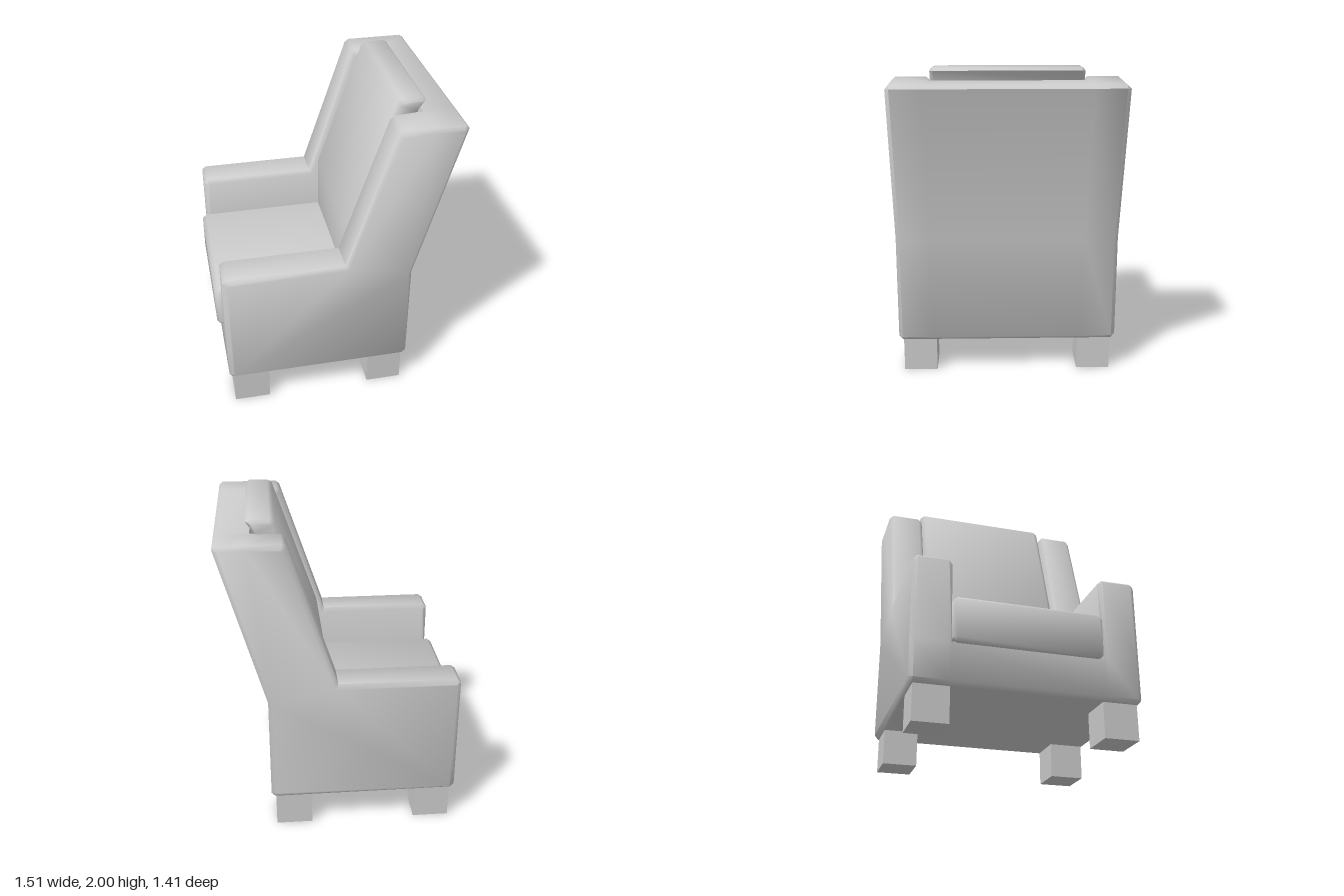
import * as THREE from 'three';
import { toCreasedNormals } from 'three/addons/utils/BufferGeometryUtils.js';

const material = new THREE.MeshStandardMaterial({ color: 0xcccccc });
const BEVEL = 0.025;

// Move every edge of a counter-clockwise outline inward by d.
function inset(pts, d) {
  return pts.map((p, i) => {
    const a = pts[(i + pts.length - 1) % pts.length], b = pts[(i + 1) % pts.length];
    const n = [[a, p], [p, b]].map(([s, e]) => {
      const l = Math.hypot(e[0] - s[0], e[1] - s[1]);
      return [-(e[1] - s[1]) / l, (e[0] - s[0]) / l];
    });
    const k = d / (1 + n[0][0] * n[1][0] + n[0][1] * n[1][1]);
    return [p[0] + (n[0][0] + n[1][0]) * k, p[1] + (n[0][1] + n[1][1]) * k];
  });
}

// Skin a list of { pts, z } cross-sections and cap both ends.
function loft(rings) {
  const pos = [];
  const A = new THREE.Vector3(), B = new THREE.Vector3();
  const tri = (a, b, c) => {
    A.subVectors(b, a);
    B.subVectors(c, a);
    if (A.cross(B).length() > 1e-7) [a, b, c].forEach((v) => pos.push(v.x, v.y, v.z));
  };
  const loops = rings.map((r) => r.pts.map(([x, y]) => new THREE.Vector3(x, y, r.z)));
  for (let i = 0; i < loops.length - 1; i++) {
    const p = loops[i], q = loops[i + 1];
    for (let j = 0; j < p.length; j++) {
      const k = (j + 1) % p.length;
      tri(p[j], p[k], q[k]);
      tri(p[j], q[k], q[j]);
    }
  }
  const first = loops[0], last = loops[loops.length - 1];
  const outline = rings[0].pts.map(([x, y]) => new THREE.Vector2(x, y));
  for (const [a, b, c] of THREE.ShapeUtils.triangulateShape(outline, [])) {
    tri(first[c], first[b], first[a]);
    tri(last[a], last[b], last[c]);
  }
  const geo = new THREE.BufferGeometry();
  geo.setAttribute('position', new THREE.Float32BufferAttribute(pos, 3));
  return toCreasedNormals(geo, 1.0);
}

function addMesh(group, name, geometry) {
  const mesh = new THREE.Mesh(geometry, material);
  mesh.name = name;
  group.add(mesh);
  return mesh;
}

// Slab with bevelled sides, centred on z.
function cushion(pts, half) {
  const small = inset(pts, BEVEL * 0.7);
  return loft([
    { pts: small, z: -half }, { pts, z: -half + BEVEL },
    { pts, z: half - BEVEL }, { pts: small, z: half },
  ]);
}

export function createModel() {
  const chair = new THREE.Group();
  chair.name = 'armchair';

  // Frame: side outline of the arms and wings, and the lower outline between them
  const arm = [
    [-0.72, 0.245], [-0.695, 0.22], [0.445, 0.22], [0.47, 0.245], [0.47, 0.91],
    [0.752, 1.905], [0.73, 1.925], [0.56, 1.925], [0.36, 1.925], [0.335, 1.905],
    [0.04, 1.02], [-0.695, 1.02], [-0.72, 1.0], [-0.72, 0.48],
  ];
  const core = arm.map((p) => p.slice());
  core[8] = [0.54, 1.925];
  core[9] = [0.535, 1.9];
  core[10] = [0.26, 0.48];
  core[11] = [-0.695, 0.48];
  core[12] = [-0.72, 0.48];
  const outer = inset(arm, BEVEL);
  // only the free edges facing the seat are bevelled
  const inner = arm.map((p, i) => (i >= 8 && i <= 12 ? outer[i] : p));
  const half = [
    { pts: outer, z: 0.705 }, { pts: arm, z: 0.68 },
    { pts: arm, z: 0.49 }, { pts: inner, z: 0.465 }, { pts: core, z: 0.465 },
  ];
  const rings = [
    ...half.map((r) => ({ pts: r.pts, z: -r.z })),
    ...half.slice().reverse(),
  ];
  addMesh(chair, 'frame', loft(rings));

  // Cushions
  addMesh(chair, 'seatCushion', cushion([
    [-0.757, 0.5], [-0.735, 0.475], [0.28, 0.475], [0.28, 0.76], [-0.73, 0.76], [-0.757, 0.735],
  ], 0.46));
  addMesh(chair, 'backCushion', cushion([
    [0.097, 0.65], [0.3, 0.65], [0.32, 1.12], [0.52, 1.92], [0.563, 1.985],
    [0.545, 2.0], [0.42, 2.0], [0.39, 1.98], [0.097, 1.12],
  ], 0.46));

  // Legs
  const legGeometry = new THREE.BoxGeometry(0.23, 0.23, 0.215);
  for (const [x, end] of [[-0.575, 'front'], [0.325, 'rear']]) {
    for (const side of [-1, 1]) {
      const leg = addMesh(chair, end + 'Leg', legGeometry);
      leg.position.set(x, 0.115, side * 0.568);
    }
  }
  return chair;
}
